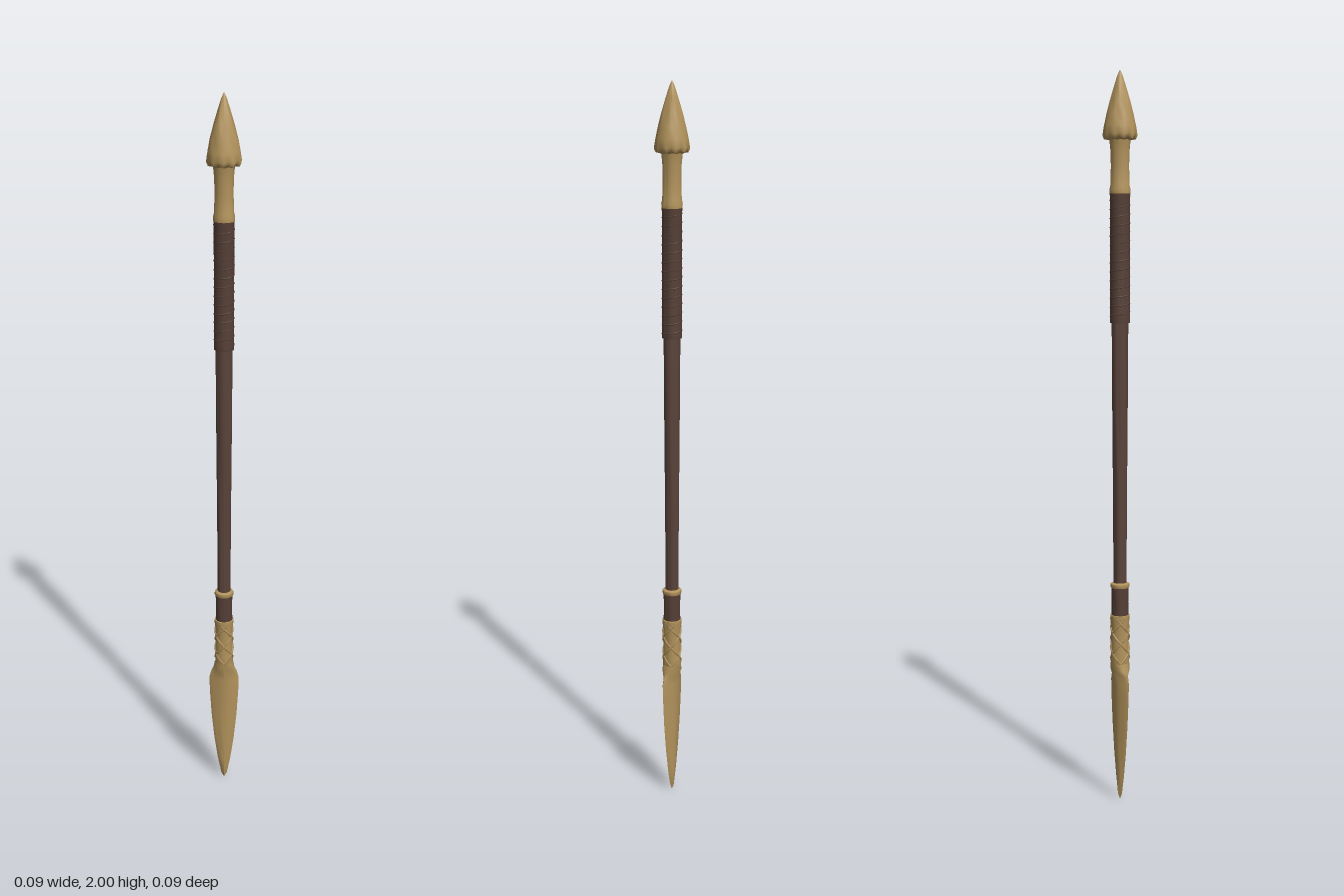
import * as THREE from 'three';
import { toCreasedNormals } from 'three/addons/utils/BufferGeometryUtils.js';

export function createModel() {
  const model = new THREE.Group();
  model.name = 'spear';

  const material = (name, color) => {
    const m = new THREE.MeshStandardMaterial({ color });
    m.name = name;
    return m;
  };
  const gold = material('gold', 0xb2935c);
  const wood = material('dark wood', 0x5a443a);
  const leather = material('leather', 0x553f36);

  const add = (name, geometry, mat) => {
    const mesh = new THREE.Mesh(geometry, mat);
    mesh.name = name;
    model.add(mesh);
    return mesh;
  };
  // Profiles are [radius, height] pairs running upward
  const lathe = (profile, sides) =>
    new THREE.LatheGeometry(profile.map(([r, y]) => new THREE.Vector2(r, y)), sides);
  const turned = (name, profile, mat, sides = 14, crease = 0.6) =>
    add(name, toCreasedNormals(lathe(profile, sides), crease), mat);

  // Cord wound around the shaft
  const cord = (name, y0, y1, radius, thickness, turns, phase, mat) => {
    const points = [];
    const steps = Math.ceil(Math.abs(turns) * 12);
    for (let i = 0; i <= steps; i++) {
      const t = i / steps;
      const a = phase + t * turns * Math.PI * 2;
      points.push(new THREE.Vector3(Math.sin(a) * radius, y0 + (y1 - y0) * t, Math.cos(a) * radius));
    }
    const path = new THREE.CatmullRomCurve3(points);
    return add(name, new THREE.TubeGeometry(path, steps, thickness, 5), mat);
  };

  // Flat lower blade: a turned outline flattened in z, with a raised midrib
  const outline = [
    [0, 0.005, 0.003], [0.008, 0.02, 0.006], [0.018, 0.07, 0.009], [0.028, 0.14, 0.011],
    [0.036, 0.22, 0.013], [0.041, 0.3, 0.016], [0.042, 0.345, 0.019],
    [0.037, 0.365, 0.021], [0.03, 0.38, 0.024], [0.026, 0.4, 0.026],
  ];
  const blade = lathe(outline, 16);
  const pos = blade.attributes.position;
  for (let i = 0; i < pos.count; i++) {
    const row = i % outline.length;
    const [radius, , thickness] = outline[row];
    const c = radius > 0 ? pos.getZ(i) / radius : 0;
    const rib = row < 8 ? 0.4 * c + 0.6 * c ** 5 : c;
    pos.setZ(i, rib * thickness);
  }
  add('lowerBlade', toCreasedNormals(blade, 0.6), gold);

  // Carved lower socket with raised crossing bands
  turned('lowerSocket', [
    [0.02, 0.385], [0.026, 0.395], [0.025, 0.42], [0.024, 0.46], [0.025, 0.51], [0.027, 0.525], [0.027, 0.535], [0.018, 0.537],
  ], gold);
  for (let i = 0; i < 3; i++) {
    const phase = (i / 3) * Math.PI * 2;
    cord('socketBandRising', 0.4, 0.528, 0.0245, 0.0035, 0.75, phase, gold);
    cord('socketBandFalling', 0.4, 0.528, 0.0245, 0.0035, -0.75, phase, gold);
  }

  // Lower collar and its ring
  turned('lowerCollar', [[0.024, 0.53], [0.023, 0.57], [0.024, 0.612]], leather);
  turned('collarRing', [
    [0.018, 0.61], [0.025, 0.612], [0.027, 0.617], [0.026, 0.623], [0.018, 0.626],
  ], gold, 14, 0.9);

  // Slightly tapered shaft
  turned('shaft', [[0.018, 0.615], [0.019, 0.85], [0.021, 1.1], [0.0225, 1.35]], wood, 12);

  // Wrapped grip
  turned('grip', [
    [0.018, 1.336], [0.027, 1.337], [0.0275, 1.35], [0.0265, 1.36], [0.027, 1.67], [0.028, 1.683], [0.018, 1.685],
  ], leather);
  cord('gripWrap', 1.345, 1.675, 0.0255, 0.0025, 14, 0, leather);

  // Upper socket flaring into the point
  turned('upperSocket', [
    [0.018, 1.678], [0.028, 1.679], [0.0285, 1.69], [0.026, 1.7], [0.0245, 1.75],
    [0.0255, 1.79], [0.028, 1.815], [0.031, 1.83],
  ], gold);

  // Upper point with a lightly scalloped base
  const headProfile = [
    [0.026, 1.818], [0.041, 1.823], [0.0455, 1.833], [0.042, 1.855], [0.036, 1.885],
    [0.027, 1.92], [0.016, 1.957], [0.007, 1.985], [0, 2],
  ];
  const head = lathe(headProfile, 20);
  const hp = head.attributes.position;
  for (let i = 0; i < hp.count; i++) {
    const row = i % headProfile.length;
    if (row > 0 && row < 4) {
      const a = Math.atan2(hp.getX(i), hp.getZ(i));
      const k = 1 + 0.025 * Math.cos(a * 10);
      hp.setXYZ(i, hp.getX(i) * k, hp.getY(i) - 0.003 * Math.cos(a * 10), hp.getZ(i) * k);
    }
  }
  add('upperPoint', toCreasedNormals(head, 0.7), gold);

  return model;
}
